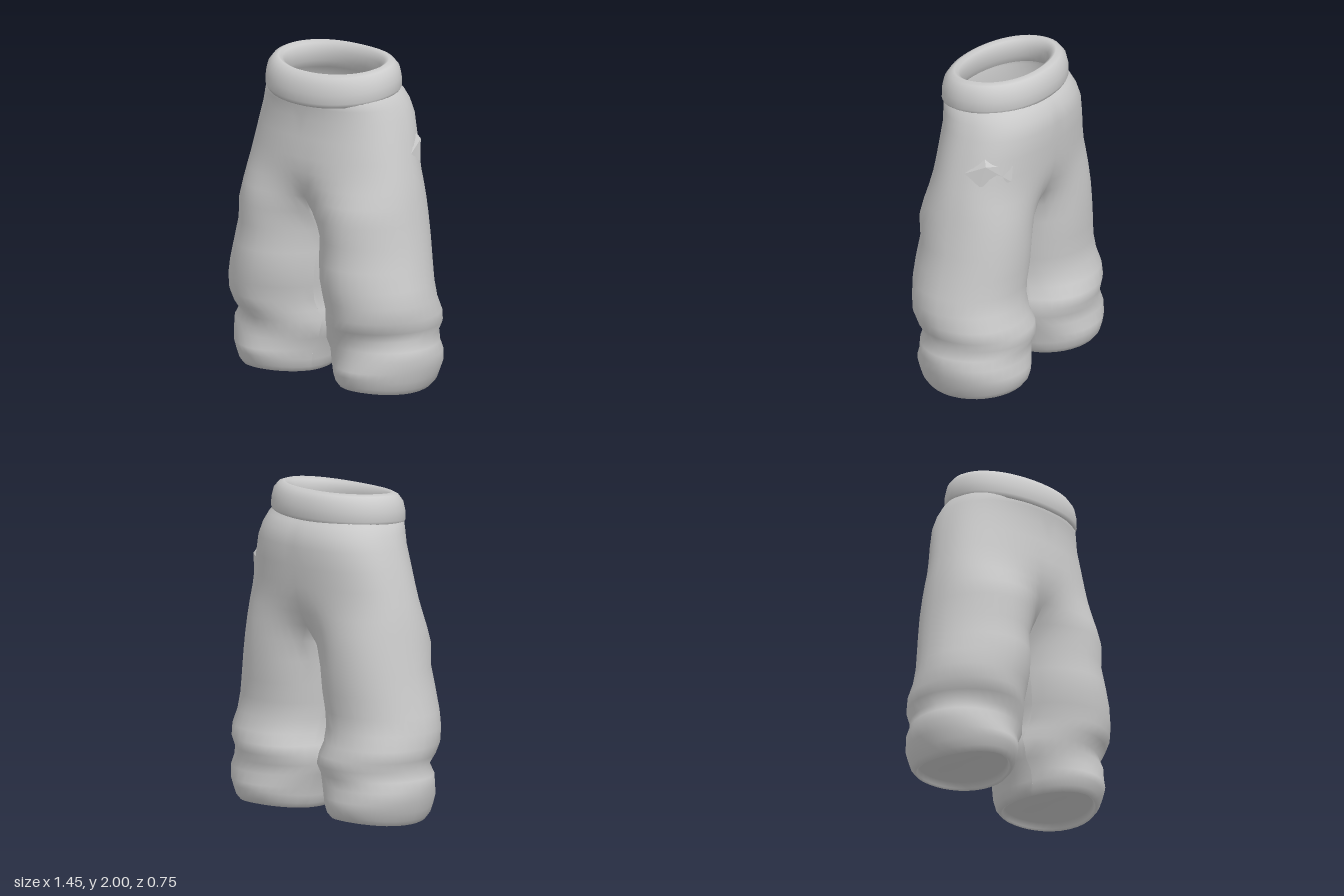
import * as THREE from 'three';
import { mergeVertices } from 'three/addons/utils/BufferGeometryUtils.js';

// Half-silhouette from waist to hem: y, outer x, inner x, front z, back z
const ROWS = [
  [1.86, 0.40, 0, 0.29, -0.27],
  [1.80, 0.445, 0, 0.328, -0.32],
  [1.74, 0.472, 0, 0.322, -0.352],
  [1.66, 0.50, 0, 0.312, -0.367],
  [1.54, 0.533, 0, 0.322, -0.36],
  [1.42, 0.562, 0, 0.334, -0.35],
  [1.33, 0.582, 0, 0.341, -0.342],
  [1.25, 0.60, 0, 0.348, -0.337],
  [1.16, 0.615, 0, 0.36, -0.333],
  [1.05, 0.633, 0.002, 0.372, -0.328],
  [0.92, 0.652, 0.002, 0.352, -0.324],
  [0.78, 0.676, 0.004, 0.375, -0.32],
  [0.66, 0.702, 0.016, 0.383, -0.308],
  [0.56, 0.722, 0.03, 0.372, -0.314],
  [0.47, 0.73, 0.04, 0.362, -0.345],
  [0.40, 0.716, 0.025, 0.346, -0.372],
  [0.34, 0.686, 0.012, 0.312, -0.37],
  [0.28, 0.716, 0.018, 0.318, -0.347],
  [0.22, 0.728, 0.04, 0.308, -0.355],
  [0.15, 0.714, 0.07, 0.334, -0.37],
  [0.08, 0.69, 0.085, 0.33, -0.37],
  [0.03, 0.67, 0.10, 0.315, -0.355],
  [0.0, 0.645, 0.125, 0.292, -0.328],
  [0.01, 0.632, 0.14, 0.28, -0.316],
  [0.045, 0.62, 0.152, 0.268, -0.304],
  [0.07, 0.387, 0.385, 0.001, -0.001],
];
const CROTCH = 8; // row where the body splits into legs
const OUTER = 30, INNER = 10;
const lerp = THREE.MathUtils.lerp;

// Rounded oval point at an angle, with its own squareness at front and back (2 is round)
function oval(angle, rx, rz, nFront, nBack) {
  const sin = Math.sin(angle), cos = Math.cos(angle);
  const p = (v) => Math.sign(v) * Math.abs(v) ** (2 / (sin > 0 ? nFront : nBack));
  return [rx * p(cos), rz * p(sin)];
}

// Point on the +x half: s 0..1 runs front to back outside, 1..2 returns inside the leg
function trouserPoint([y, xo, xi, zf, zb], s) {
  const split = THREE.MathUtils.smoothstep(1.42 - y, 0, 0.6);
  const zc = (zf + zb) / 2, zr = (zf - zb) / 2;
  const body = s <= 1 ? oval(Math.PI * (0.5 - s), xo, zr, 2.2, 2.4) : [0, lerp(-zr, zr, s - 1)];
  const deg = s <= 1 ? lerp(160, -160, s) : lerp(-160, -200, s - 1);
  const a = THREE.MathUtils.degToRad(deg);
  const leg = oval(a, (xo - xi) / 2, zr, 1.9, 2.12);
  // soft cloth folds near the ankle
  const fold = 1 + 0.012 * Math.sin(3 * a + y * 22) * THREE.MathUtils.smoothstep(0.75 - y, 0, 0.3)
    * THREE.MathUtils.smoothstep(y, 0.02, 0.2) * Math.max(0, Math.cos(a / 2));
  // above the crotch both halves meet on the centre plane in a sinking groove
  const seam = y > 1.1 && (s === 0 || s >= 1);
  const x = seam ? 0 : lerp(body[0], (xo + xi) / 2 + leg[0] * fold, split);
  // keep full depth while the body turns into a leg
  const fill = 1 + 0.25 * split * (1 - split);
  const z = zc + lerp(body[1], leg[1] * fold, split) * fill;
  const lift = y < 0.1 ? 0.25 * z * z : 0;
  return [x, y + lift, z];
}

function smoothGeometry(positions, index) {
  let g = new THREE.BufferGeometry();
  g.setAttribute('position', new THREE.Float32BufferAttribute(positions, 3));
  g.setIndex(index);
  g = mergeVertices(g, 1e-4);
  g.computeVertexNormals();
  return g;
}

function quad(index, a, b, c, d, flip) {
  if (flip) index.push(a, b, c, b, d, c);
  else index.push(a, c, b, b, c, d);
}

// Both mirrored halves, joined along the centre seam, with hems turned in and closed
function trousersGeometry() {
  const pos = [], index = [], count = OUTER + INNER + 1;
  for (const side of [1, -1]) {
    const start = pos.length / 3;
    ROWS.forEach((row, i) => {
      for (let j = 0; j < count; j++) {
        const s = j <= OUTER ? j / OUTER : 1 + (j - OUTER) / INNER;
        const [x, y, z] = trouserPoint(row, s);
        pos.push(side * (Math.abs(x) < 1e-6 ? 0 : x), y, z);
        if (i === 0 || j === 0) continue;
        if (j > OUTER && i <= CROTCH) continue; // no inner wall above the crotch
        const d = start + i * count + j;
        quad(index, d - count - 1, d - count, d - 1, d, side < 0);
      }
    });
  }
  return smoothGeometry(pos, index);
}

// Padded, forward-tilted band: x radius, z radius, y
function waistbandGeometry() {
  const profile = [
    [0.405, 0.30, 1.815], [0.434, 0.322, 1.797], [0.448, 0.334, 1.825], [0.445, 0.333, 1.88],
    [0.432, 0.321, 1.935], [0.402, 0.294, 1.972], [0.368, 0.262, 1.984], [0.341, 0.238, 1.968],
    [0.326, 0.224, 1.925], [0.33, 0.228, 1.86], [0.36, 0.255, 1.815],
  ];
  const pos = [], index = [], n = 48;
  profile.forEach(([rx, rz, y], i) => {
    for (let j = 0; j <= n; j++) {
      const [x, dz] = oval((j / n) * Math.PI * 2, rx, rz, 2.1, 2.2);
      const z = dz + 0.018;
      pos.push(x, y - 0.09 * z - 0.15 * z * z, z);
      if (i === 0 || j === 0) continue;
      const d = i * (n + 1) + j;
      quad(index, d - n - 2, d - n - 1, d - 1, d, false);
    }
  });
  return smoothGeometry(pos, index);
}

// Small sharp pucker on the left hip: shallow faceted fan around a raised point
function puckerGeometry() {
  const rim = [[1.46, -0.06], [1.39, -0.16], [1.40, -0.29], [1.50, -0.29], [1.56, -0.17]];
  const hip = (y, z, out) => {
    const xo = lerp(0.565, 0.533, (y - 1.4) / 0.14);
    return [xo * (1 - Math.abs((z + 0.01) / 0.345) ** 2.4) ** (1 / 2.4) + out, y, z];
  };
  const pos = [];
  rim.forEach((corner, i) => {
    const next = rim[(i + 1) % rim.length];
    pos.push(...hip(1.52, -0.19, 0.03), ...hip(...next, 0.006), ...hip(...corner, 0.006));
  });
  const g = new THREE.BufferGeometry();
  g.setAttribute('position', new THREE.Float32BufferAttribute(pos, 3));
  g.computeVertexNormals();
  return g;
}

export function createModel() {
  const cloth = new THREE.MeshStandardMaterial({ color: 0xcccccc, side: THREE.DoubleSide });
  cloth.name = 'grey cloth';
  const model = new THREE.Group();
  model.name = 'baggyTrousers';
  const add = (name, geometry) => {
    const mesh = new THREE.Mesh(geometry, cloth);
    mesh.name = name;
    model.add(mesh);
  };
  add('trouserLegs', trousersGeometry());
  add('waistband', waistbandGeometry());
  add('hipPucker', puckerGeometry());
  return model;
}
